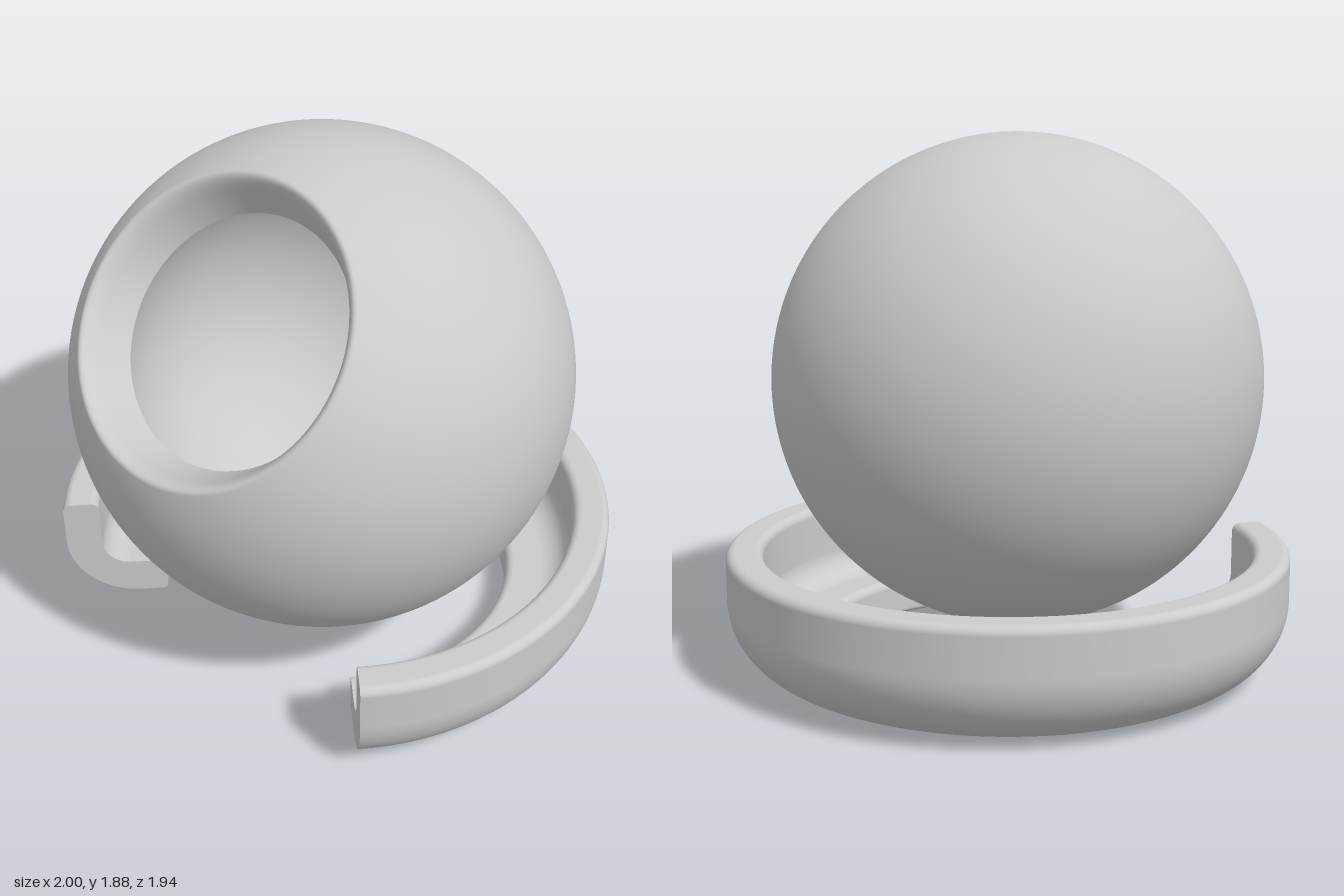
import * as THREE from 'three';

const material = new THREE.MeshStandardMaterial({ color: 0xcccccc });
const capMaterial = new THREE.MeshStandardMaterial({ color: 0xcccccc, side: THREE.DoubleSide });

function addMesh(parent, name, geometry, mat = material) {
  const mesh = new THREE.Mesh(geometry, mat);
  mesh.name = name;
  parent.add(mesh);
  return mesh;
}

// Points on a circle about the origin, angles measured from the +x axis
function arcPoints(radius, from, to, steps) {
  return Array.from({ length: steps + 1 }, (_, i) => {
    const a = from + (to - from) * i / steps;
    return new THREE.Vector2(Math.max(0, radius * Math.cos(a)), radius * Math.sin(a));
  });
}

// Hollow ball with a bevelled round opening, tilted up and forward
function createBall() {
  const ball = new THREE.Group();
  ball.name = 'ball';
  const R = 0.868;
  const rimStart = Math.acos(0.52 / R);
  const edge = new THREE.Vector2(0.42, 0.54);

  // Outer skin, soft rim and funnel down to the sharp inner edge
  const outer = arcPoints(R, -Math.PI / 2, rimStart, 64);
  const rim = new THREE.QuadraticBezierCurve(
    outer[outer.length - 1], new THREE.Vector2(0.495, 0.714), new THREE.Vector2(0.465, 0.644));
  const shell = [...outer, ...rim.getPoints(10).slice(1), edge];
  addMesh(ball, 'ballShell', new THREE.LatheGeometry(shell, 128));

  // Inner cavity, facing inwards
  const cavity = arcPoints(edge.length(), edge.angle(), -Math.PI / 2, 48);
  addMesh(ball, 'ballCavity', new THREE.LatheGeometry(cavity, 128));

  ball.position.set(0, 1.01, 0.1);
  ball.rotation.x = THREE.MathUtils.degToRad(49);
  return ball;
}

// Three-quarter ring with an L-shaped section, open at the front
function createStand() {
  const stand = new THREE.Group();
  stand.name = 'stand';
  const H = Math.PI / 2;
  const section = new THREE.Shape();
  section.moveTo(0.66, 0);
  section.lineTo(0.74, 0);                                 // underside
  section.absarc(0.74, 0.26, 0.26, -H, 0, false);          // outer bottom corner
  section.absarc(0.97, 0.4, 0.03, 0, H, false);            // top outer edge
  section.absarc(0.9, 0.4, 0.03, H, 2 * H, false);         // top inner edge
  section.absarc(0.77, 0.24, 0.1, 0, -H, true);            // inside fillet
  section.absarc(0.67, 0.11, 0.03, H, 2 * H, false);       // lip of the foot
  section.absarc(0.66, 0.02, 0.02, 2 * H, 3 * H, false);

  const start = Math.PI / 4, sweep = Math.PI * 1.5;
  addMesh(stand, 'standRing', new THREE.LatheGeometry(section.getPoints(12), 120, start, sweep));

  // Flat end faces
  [['leftEnd', start], ['rightEnd', start + sweep]].forEach(([name, phi]) => {
    addMesh(stand, name, new THREE.ShapeGeometry(section, 12), capMaterial).rotation.y = phi - H;
  });
  stand.position.z = 0.03;
  return stand;
}

export function createModel() {
  const model = new THREE.Group();
  model.name = 'ballOnStand';
  model.add(createBall(), createStand());
  return model;
}
